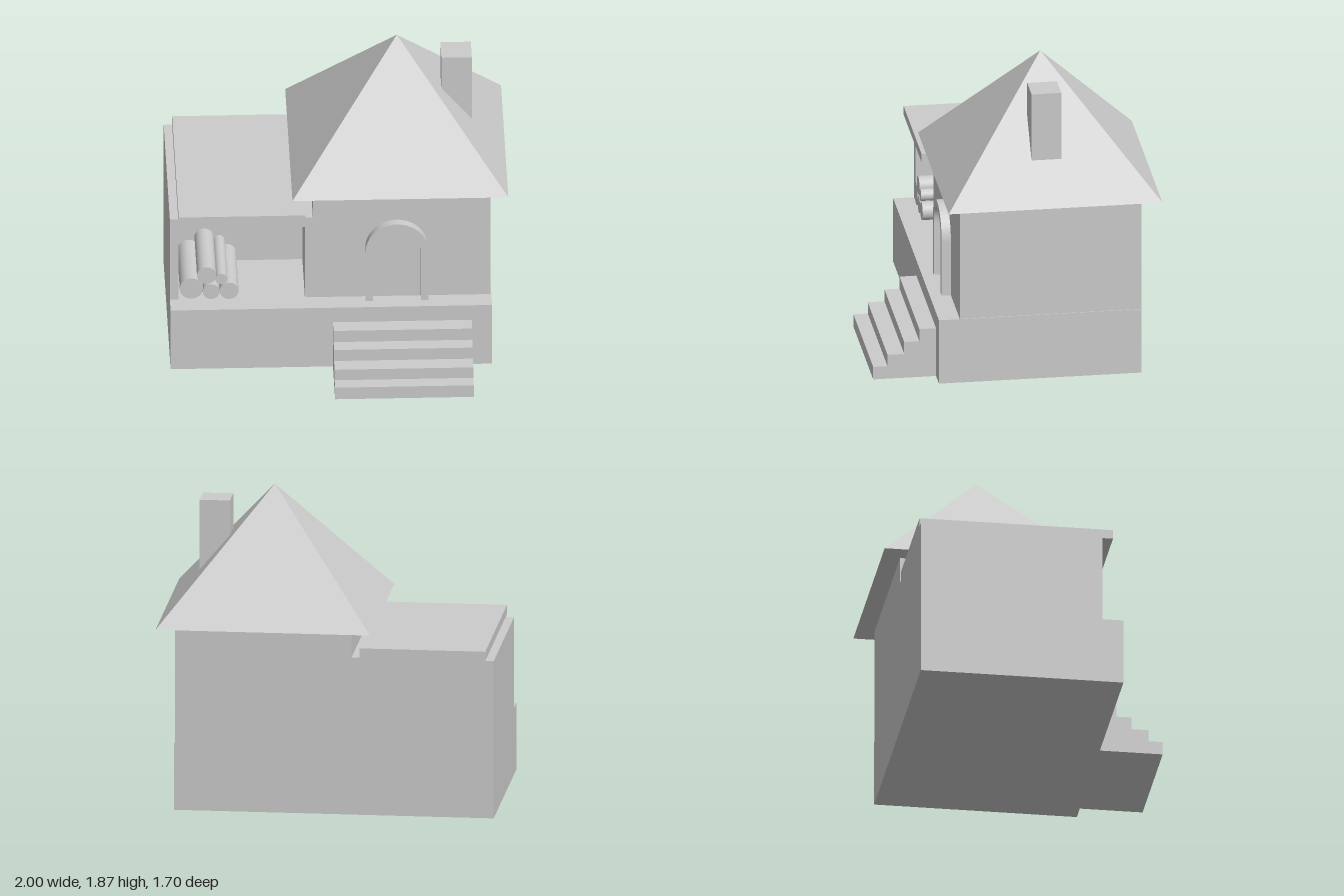
import * as THREE from 'three';

export function createModel() {
  const model = new THREE.Group();
  const material = new THREE.MeshStandardMaterial({ color: 0xcccccc });
  const flat = new THREE.MeshStandardMaterial({ color: 0xcccccc, flatShading: true });

  function add(name, geometry, mat = material) {
    const mesh = new THREE.Mesh(geometry, mat);
    mesh.name = name;
    model.add(mesh);
    return mesh;
  }

  // Box given by its limits on each axis
  function box(name, x0, x1, y0, y1, z0, z1) {
    const mesh = add(name, new THREE.BoxGeometry(x1 - x0, y1 - y0, z1 - z0));
    mesh.position.set((x0 + x1) / 2, (y0 + y1) / 2, (z0 + z1) / 2);
    return mesh;
  }

  // Foundation and main house
  const back = -0.74, wallFront = 0.345, floor = 0.405;
  box('foundation', -1, 0.9, 0, floor, back, 0.47);
  box('houseWalls', -0.155, 0.895, floor, 1.12, back, wallFront);

  // Front steps, each standing on the ground
  const steps = [[0.305, 0.57], [0.228, 0.66], [0.152, 0.76], [0.08, 0.845]];
  let stepBack = 0.47;
  steps.forEach(([top, front], i) => {
    box('step' + (i + 1), -0.04, 0.78, 0, top, stepBack, front);
    stepBack = front;
  });

  // Pyramid roof
  const roofGeometry = new THREE.ConeGeometry(0.638 * Math.SQRT2, 0.75, 4).rotateY(Math.PI / 4);
  add('mainRoof', roofGeometry, flat).position.set(0.36, 1.12 + 0.375, -0.212);
  box('chimney', 0.62, 0.8, 1.25, 1.775, -0.275, -0.097);

  // Wood store: solid rear, open bay in front, slab roof
  const bayBack = -0.09;
  box('storeRear', -1, -0.155, floor, 0.957, back, bayBack);
  const bay = new THREE.Shape([
    [-1, floor], [-0.95, floor], [-0.95, 0.892], [-0.202, 0.892], [-0.202, floor],
    [-0.155, floor], [-0.155, 0.957], [-1, 0.957],
  ].map(([x, y]) => new THREE.Vector2(x, y)));
  const bayGeometry = new THREE.ExtrudeGeometry(bay, { depth: wallFront - bayBack, bevelEnabled: false });
  add('storeBay', bayGeometry).position.z = bayBack;
  box('storeRoof', -0.95, -0.202, 0.957, 1.013, back, 0.415);

  // Stacked logs: x, y, radius
  const logs = [
    [-0.873, 0.483, 0.069], [-0.783, 0.571, 0.057], [-0.756, 0.459, 0.05],
    [-0.696, 0.545, 0.036], [-0.65, 0.463, 0.056],
  ];
  logs.forEach(([x, y, r], i) => {
    const log = new THREE.CylinderGeometry(r, r, 0.452, 32).rotateX(Math.PI / 2);
    add('log' + (i + 1), log).position.set(x, y, 0.126);
  });

  // Arched door surround
  const cx = 0.341, cy = 0.745, outer = 0.185, inner = 0.142;
  const arch = new THREE.Shape();
  arch.moveTo(cx + outer, floor);
  arch.lineTo(cx + outer, cy);
  arch.absarc(cx, cy, outer, 0, Math.PI, false);
  arch.lineTo(cx - outer, floor);
  arch.lineTo(cx - inner, floor);
  arch.lineTo(cx - inner, cy);
  arch.absarc(cx, cy, inner, Math.PI, 0, true);
  arch.lineTo(cx + inner, floor);
  const archGeometry = new THREE.ExtrudeGeometry(arch, { depth: 0.055, bevelEnabled: false, curveSegments: 24 });
  add('doorArch', archGeometry).position.z = wallFront;

  return model;
}
